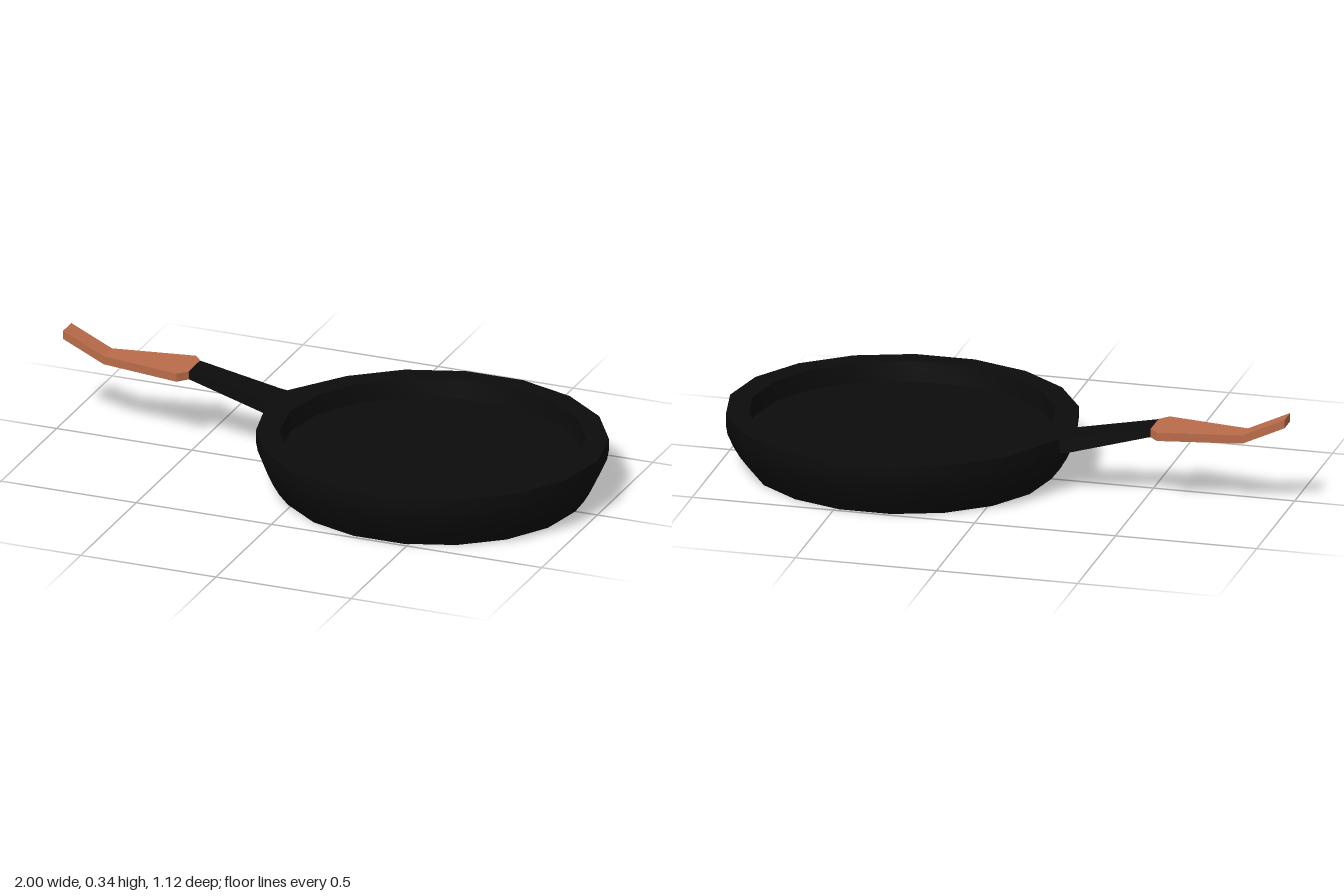
import * as THREE from 'three';
import { toCreasedNormals } from 'three/addons/utils/BufferGeometryUtils.js';

const iron = new THREE.MeshStandardMaterial({ color: 0x0c0c0c });
iron.name = 'blackIron';
const copper = new THREE.MeshStandardMaterial({ color: 0xba6c4a });
copper.name = 'copper';

// Rectangular sections [x, yBottom, yTop, zBack, zFront], joined towards -x
function loft(sections) {
  const rings = sections.map(([x, y0, y1, z0, z1]) => [[x, y0, z0], [x, y0, z1], [x, y1, z1], [x, y1, z0]]);
  const pos = [];
  const quad = (a, b, c, d) => pos.push(...a, ...b, ...c, ...a, ...c, ...d);
  for (let i = 0; i < rings.length - 1; i++) {
    const a = rings[i], b = rings[i + 1];
    for (let k = 0; k < 4; k++) quad(a[k], a[(k + 1) % 4], b[(k + 1) % 4], b[k]);
  }
  const s = rings[0], e = rings[rings.length - 1];
  quad(s[3], s[2], s[1], s[0]);
  quad(e[0], e[1], e[2], e[3]);
  const g = new THREE.BufferGeometry();
  g.setAttribute('position', new THREE.Float32BufferAttribute(pos, 3));
  g.computeVertexNormals();
  return g;
}

// Slightly oval 18-sided pan, with the rim pulled out where the neck joins
function panGeometry() {
  const profile = [[0, 0], [0.494, 0], [0.523, 0.04], [0.545, 0.08], [0.564, 0.125], [0.57, 0.16],
    [0.57, 0.2], [0.495, 0.2], [0.49, 0.13], [0, 0.13]].map(p => new THREE.Vector2(...p));
  const g = new THREE.LatheGeometry(profile, 18, Math.PI / 2);
  g.scale(1.07, 1, 1);
  g.translate(0.39, 0, 0);
  const p = g.attributes.position, n = profile.length;
  p.setXYZ(8 * n + 5, -0.21, 0.157, -0.16);
  p.setXYZ(8 * n + 6, -0.21, 0.207, -0.16);
  p.setXYZ(9 * n + 5, -0.235, 0.157, -0.04);
  p.setXYZ(9 * n + 6, -0.235, 0.207, -0.04);
  return toCreasedNormals(g, 0.6);
}

export function createModel() {
  const group = new THREE.Group();
  const add = (name, geometry, material) => {
    const mesh = new THREE.Mesh(geometry, material);
    mesh.name = name;
    group.add(mesh);
  };

  add('pan', panGeometry(), iron);

  // Neck rising from the rim to the grip
  add('handleNeck', loft([
    [-0.2, 0.155, 0.205, -0.159, -0.041],
    [-0.235, 0.157, 0.21, -0.157, -0.04],
    [-0.53, 0.24, 0.27, -0.148, -0.047],
  ]), iron);

  // Grip flares at the collar, tapers, then bends up at the tip
  add('handleGrip', loft([
    [-0.53, 0.24, 0.27, -0.15, -0.045],
    [-0.56, 0.24, 0.27, -0.182, -0.01],
    [-0.85, 0.24, 0.27, -0.133, -0.058],
    [-1, 0.31, 0.34, -0.133, -0.058],
  ]), copper);

  return group;
}
